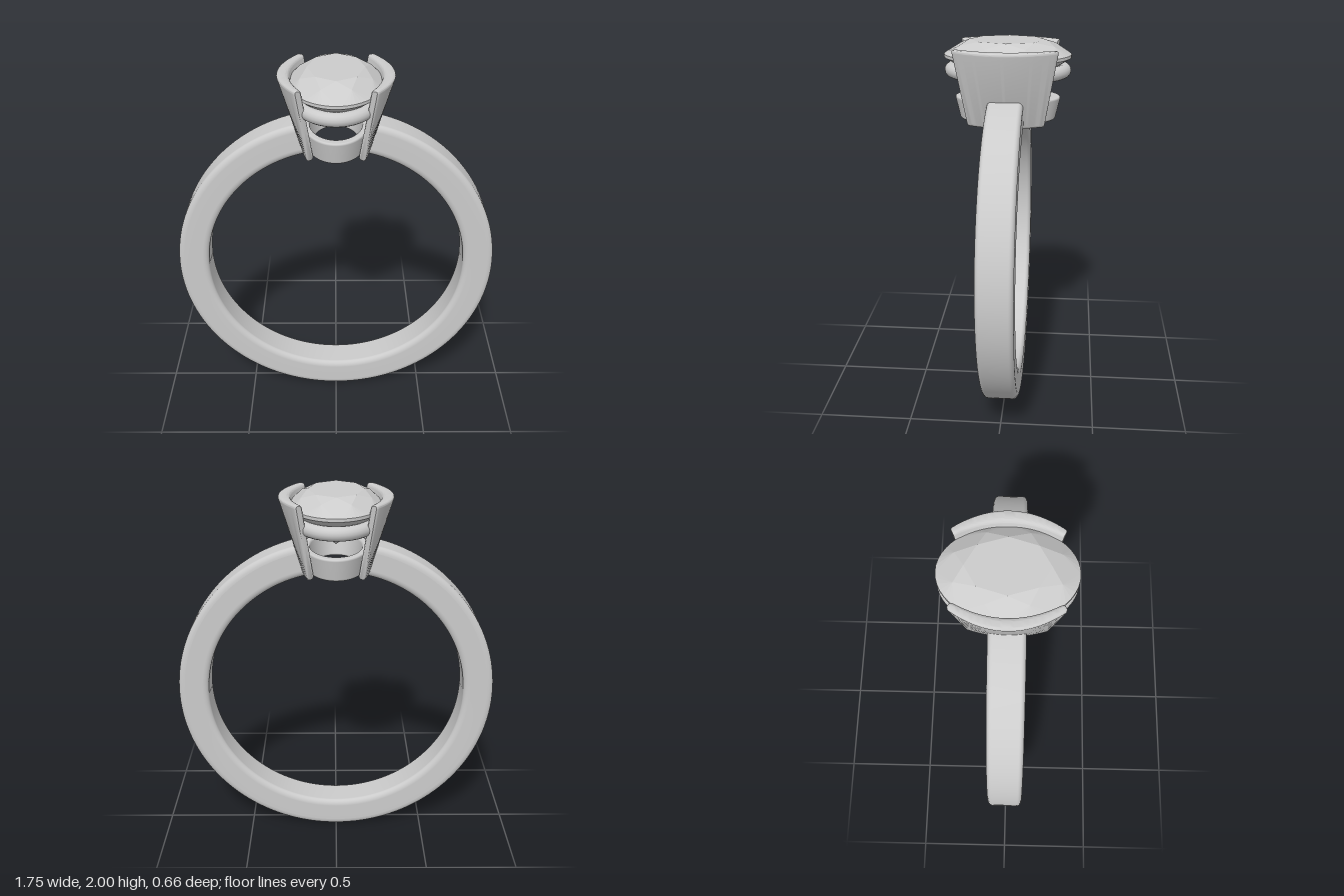
import * as THREE from 'three';
import { toCreasedNormals } from 'three/addons/utils/BufferGeometryUtils.js';

const lerp = THREE.MathUtils.lerp;
const metal = new THREE.MeshStandardMaterial({ color: 0xcccccc });
const gem = new THREE.MeshStandardMaterial({ color: 0xcccccc, flatShading: true });

// Closed counterclockwise rounded rectangle; rx and ry are the corner radii
function roundedLoop(x0, x1, y0, y1, rx, ry, n = 6) {
  const centres = [[x1 - rx, y0 + ry], [x1 - rx, y1 - ry], [x0 + rx, y1 - ry], [x0 + rx, y0 + ry]];
  const pts = [];
  centres.forEach(([cx, cy], k) => {
    for (let i = 0; i <= n; i++) {
      const a = (k - 1 + i / n) * Math.PI / 2;
      pts.push(new THREE.Vector2(cx + rx * Math.cos(a), cy + ry * Math.sin(a)));
    }
  });
  return pts;
}

function lathe(loop, segments, start = 0, length = Math.PI * 2) {
  return new THREE.LatheGeometry([...loop, loop[0].clone()], segments, start, length);
}

function geometryFrom(positions, index) {
  const g = new THREE.BufferGeometry();
  g.setAttribute('position', new THREE.Float32BufferAttribute(positions, 3));
  if (index) g.setIndex(index);
  g.computeVertexNormals();
  return g;
}

// Curved, flaring side wall on +x, its foot trimmed to the finger hole
function wallGeometry() {
  const loop = roundedLoop(0, 1, 0, 1, 0.3, 0.04);
  const n = loop.length, pos = [], index = [];
  // apex x, end x, end z for inner and outer faces at foot and rim
  const foot = [[0.135, 0.112, 0.185], [0.175, 0.145, 0.2]];
  const rim = [[0.237, 0.165, 0.252], [0.3, 0.2, 0.27]];
  const plan = (faces, w, s) => {
    const [apex, end, z] = faces[0].map((v, k) => lerp(v, faces[1][k], w));
    return [apex - (apex - end) * s * s, z * s];
  };
  // stations along the wall; the outermost ones shrink to round the ends
  const stations = [[-1, 0.7], [-0.985, 0.92]];
  for (let i = 0; i <= 32; i++) stations.push([-0.96 + 1.92 * i / 32, 1]);
  stations.push([0.985, 0.92], [1, 0.7]);
  const add = (w, v, s) => {
    const [xb, zb] = plan(foot, w, s), [xt, zt] = plan(rim, w, s);
    const yb = 0.88 + Math.sqrt(0.71 ** 2 - xb * xb);
    pos.push(lerp(xb, xt, v), lerp(yb, 1.975, v), lerp(zb, zt, v));
  };
  for (const [s, k] of stations) {
    for (const p of loop) add(0.5 + (p.x - 0.5) * k, 0.5 + (p.y - 0.5) * lerp(1, k, 0.06), s);
  }
  for (let i = 0; i < stations.length - 1; i++) {
    for (let j = 0; j < n; j++) {
      const a = i * n + j, b = i * n + (j + 1) % n;
      index.push(a, b, b + n, a, b + n, a + n);
    }
  }
  // end caps
  const first = pos.length / 3, last = (stations.length - 1) * n;
  add(0.5, 0.5, -1);
  add(0.5, 0.5, 1);
  for (let j = 0; j < n; j++) {
    const k = (j + 1) % n;
    index.push(first, k, j, first + 1, last + j, last + k);
  }
  return toCreasedNormals(geometryFrom(pos, index), 0.7);
}

// Oval brilliant cut: table, kite and girdle facets above, long facets below
function stoneGeometry() {
  const pos = [];
  const at = (step, r, y) => {
    const a = step * Math.PI / 4;
    return [0.24 * r * Math.sin(a), y, 0.33 * r * Math.cos(a)];
  };
  const tri = (...corners) => corners.forEach((c) => pos.push(...c));
  const table = (k) => at(k, 0.6, 2.0), star = (k) => at(k + 0.5, 0.8, 1.975);
  const upper = (k) => at(k, 1, 1.928), lower = (k) => at(k, 1, 1.912);
  const pavilion = (k) => at(k + 0.5, 0.28, 1.765);
  const culet = [0, 1.71, 0];
  for (let k = 0; k < 8; k++) {
    tri([0, 2, 0], table(k), table(k + 1));
    tri(table(k), star(k), table(k + 1));
    tri(table(k), upper(k), star(k));
    tri(table(k), star(k - 1), upper(k));
    tri(culet, pavilion(k), pavilion(k - 1));
    tri(pavilion(k - 1), pavilion(k), lower(k));
    for (let i = 0; i < 6; i++) {
      const p = k + i / 6, q = k + (i + 1) / 6;
      tri(star(k), upper(p), upper(q));
      tri(upper(p), lower(p), lower(q));
      tri(upper(p), lower(q), upper(q));
      tri(pavilion(k), lower(q), lower(p));
    }
  }
  return geometryFrom(pos);
}

class OvalCurve extends THREE.Curve {
  getPoint(t, target = new THREE.Vector3()) {
    const a = t * Math.PI * 2;
    return target.set(0.2 * Math.sin(a), 1.845, 0.293 * Math.cos(a));
  }
}

export function createModel() {
  const model = new THREE.Group();
  model.name = 'ring';
  const add = (name, geometry, material = metal) => {
    const mesh = new THREE.Mesh(geometry, material);
    mesh.name = name;
    model.add(mesh);
    return mesh;
  };

  // Band, open at the top between the setting walls
  const gap = 0.2;
  const band = lathe(roundedLoop(0.708, 0.873, -0.093, 0.093, 0.035, 0.025), 128, Math.PI + gap, Math.PI * 2 - 2 * gap);
  band.rotateX(Math.PI / 2).translate(0, 0.874, 0);
  add('band', band);

  // Two mirrored side walls
  const wall = wallGeometry();
  add('leftWall', wall);
  add('rightWall', wall).rotation.y = Math.PI;

  // Oval collar at the foot of the setting, flaring upward
  const flare = roundedLoop(0.195, 0.25, 1.588, 1.71, 0.012, 0.012);
  flare.forEach((p) => { p.x += 0.028 * (p.y - 1.588) / 0.122; });
  add('baseCollar', lathe(flare, 72).scale(0.62, 1, 1));

  // Oval rail under the stone
  add('rail', new THREE.TubeGeometry(new OvalCurve(), 96, 0.036, 16, true));

  add('stone', stoneGeometry(), gem);
  return model;
}
